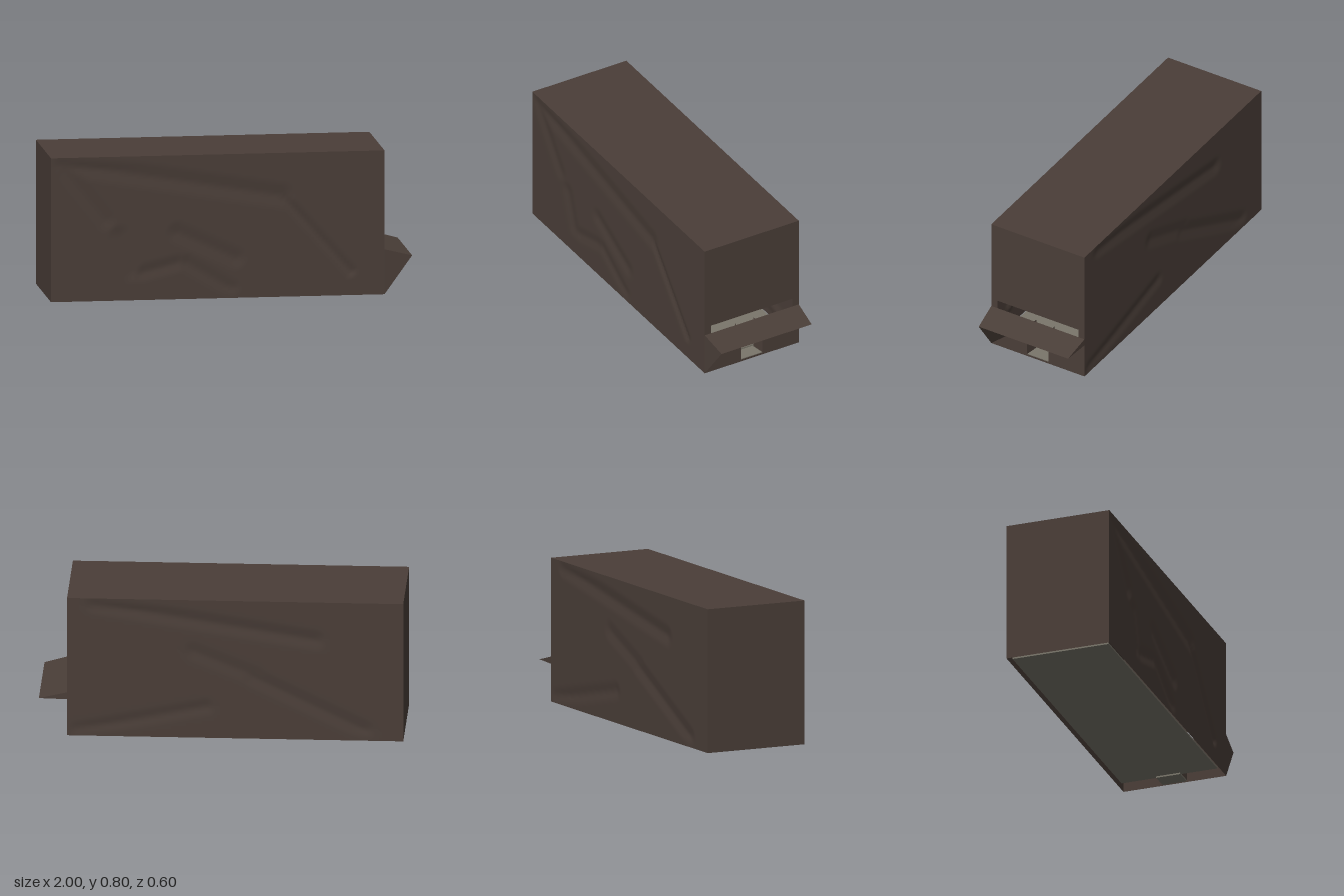
import * as THREE from 'three';

const mat = (name, color, side = THREE.FrontSide) => {
  const m = new THREE.MeshStandardMaterial({ color, side });
  m.name = name;
  return m;
};

const X0 = -1, X1 = 0.845, H = 0.8, Z = 0.3;

export function createModel() {
  const group = new THREE.Group();
  const brown = mat('dark brown cladding', 0x4a3e38, THREE.DoubleSide);
  const stone = mat('grey floor', 0x7a766b);

  const add = (name, geometry, material) => {
    const mesh = new THREE.Mesh(geometry, material);
    mesh.name = name;
    group.add(mesh);
    return mesh;
  };

  // Flat polygons, each fanned from its first corner
  const polygons = (...faces) => {
    const pos = [];
    for (const f of faces)
      for (let i = 1; i < f.length - 1; i++) pos.push(...f[0], ...f[i], ...f[i + 1]);
    const g = new THREE.BufferGeometry();
    g.setAttribute('position', new THREE.Float32BufferAttribute(pos, 3));
    g.computeVertexNormals();
    return g;
  };

  // Long wall dented inwards along creases: [x1, y1, x2, y2, width, depth]
  const dentedWall = (creases, side) => {
    const g = new THREE.PlaneGeometry(X1 - X0, H, 110, 48);
    g.translate((X0 + X1) / 2, H / 2, 0);
    const p = g.attributes.position;
    for (let i = 0; i < p.count; i++) {
      const x = p.getX(i), y = p.getY(i);
      const rim = Math.min(1, Math.min(x - X0, X1 - x, y, H - y) / 0.06);
      let dent = 0;
      for (const [ax, ay, bx, by, w, d] of creases) {
        const dx = bx - ax, dy = by - ay;
        const t = THREE.MathUtils.clamp(((x - ax) * dx + (y - ay) * dy) / (dx * dx + dy * dy), 0, 1);
        const dist = Math.hypot(x - ax - t * dx, y - ay - t * dy);
        dent = Math.max(dent, d * Math.max(0, 1 - dist / w));
      }
      p.setZ(i, Z - dent * Math.max(0, rim));
    }
    if (side < 0) {
      // Mirror to the back and flip the winding
      g.scale(1, 1, -1);
      const idx = g.index.array;
      for (let i = 0; i < idx.length; i += 3) [idx[i], idx[i + 1]] = [idx[i + 1], idx[i]];
    }
    g.computeVertexNormals();
    return g;
  };

  add('frontWall', dentedWall([
    [-0.95, 0.77, 0.28, 0.56, 0.07, 0.009],
    [0.28, 0.56, 0.66, 0.13, 0.03, 0.012],
    [-0.93, 0.74, -0.7, 0.45, 0.06, 0.007],
    [-0.62, 0.36, -0.55, 0.16, 0.06, 0.007],
    [-0.5, 0.15, -0.3, 0.2, 0.05, 0.007],
    [-0.3, 0.37, 0.02, 0.22, 0.06, 0.008],
    [-0.25, 0.2, 0, 0.05, 0.05, 0.007],
  ], 1), brown);
  add('backWall', dentedWall([
    [0.7, 0.77, -0.52, 0.58, 0.06, 0.01],
    [-0.17, 0.36, -0.79, 0.06, 0.06, 0.009],
    [0.8, 0.03, 0.08, 0.18, 0.05, 0.008],
    [0.15, 0.5, -0.2, 0.36, 0.06, 0.007],
  ], -1), brown);

  // Roof and closed end
  add('roof', polygons([[X0, H, Z], [X1, H, Z], [X1, H, -Z], [X0, H, -Z]]), brown);
  add('closedEnd', polygons([[X0, 0, -Z], [X0, 0, Z], [X0, H, Z], [X0, H, -Z]]), brown);

  // Entrance end with a long slit window and a doorway
  const rect = (path, w, y0, y1) =>
    path.moveTo(-w, y0).lineTo(w, y0).lineTo(w, y1).lineTo(-w, y1).closePath();
  const wall = rect(new THREE.Shape(), Z, 0, H);
  wall.holes.push(rect(new THREE.Path(), 0.26, 0.25, 0.3), rect(new THREE.Path(), 0.07, 0.012, 0.2));
  const end = new THREE.ShapeGeometry(wall);
  end.rotateY(Math.PI / 2).translate(X1, 0, 0);
  add('entranceWall', end, brown);

  // Splayed door jambs
  for (const s of [1, -1]) {
    add('doorJamb', polygons([
      [X1, 0.012, s * 0.07], [X1 - 0.08, 0.012, s * 0.058],
      [X1 - 0.08, 0.2, s * 0.058], [X1, 0.2, s * 0.07],
    ]), brown);
  }

  // Canopy over the door, with a full-height wing on the front side only
  const a = [X1, 0.25, Z], b = [X1, 0.25, -Z], c = [1, 0.21, -0.29], d = [1, 0.21, 0.285];
  const foot = [X1, 0, Z], inner = [X1, 0.2, 0.07], far = [X1, 0.2, -0.07], root = [X1, 0.21, -Z];
  add('canopyTop', polygons([a, d, c, b]), brown);
  add('canopyUnderside', polygons([d, inner, far, root, c]), brown);
  add('canopyBackEdge', polygons([b, c, root]), brown);
  add('canopyWing', polygons([foot, d, a], [foot, inner, d]), brown);

  // Floor slab, slightly clear of the walls, and the door step
  add('floor', new THREE.BoxGeometry(1.72, 0.01, 0.56), stone).position.set(-0.1, 0.016, 0);
  add('doorStep', new THREE.BoxGeometry(0.1, 0.01, 0.14), stone).position.set(0.79, 0.007, 0);

  return group;
}
